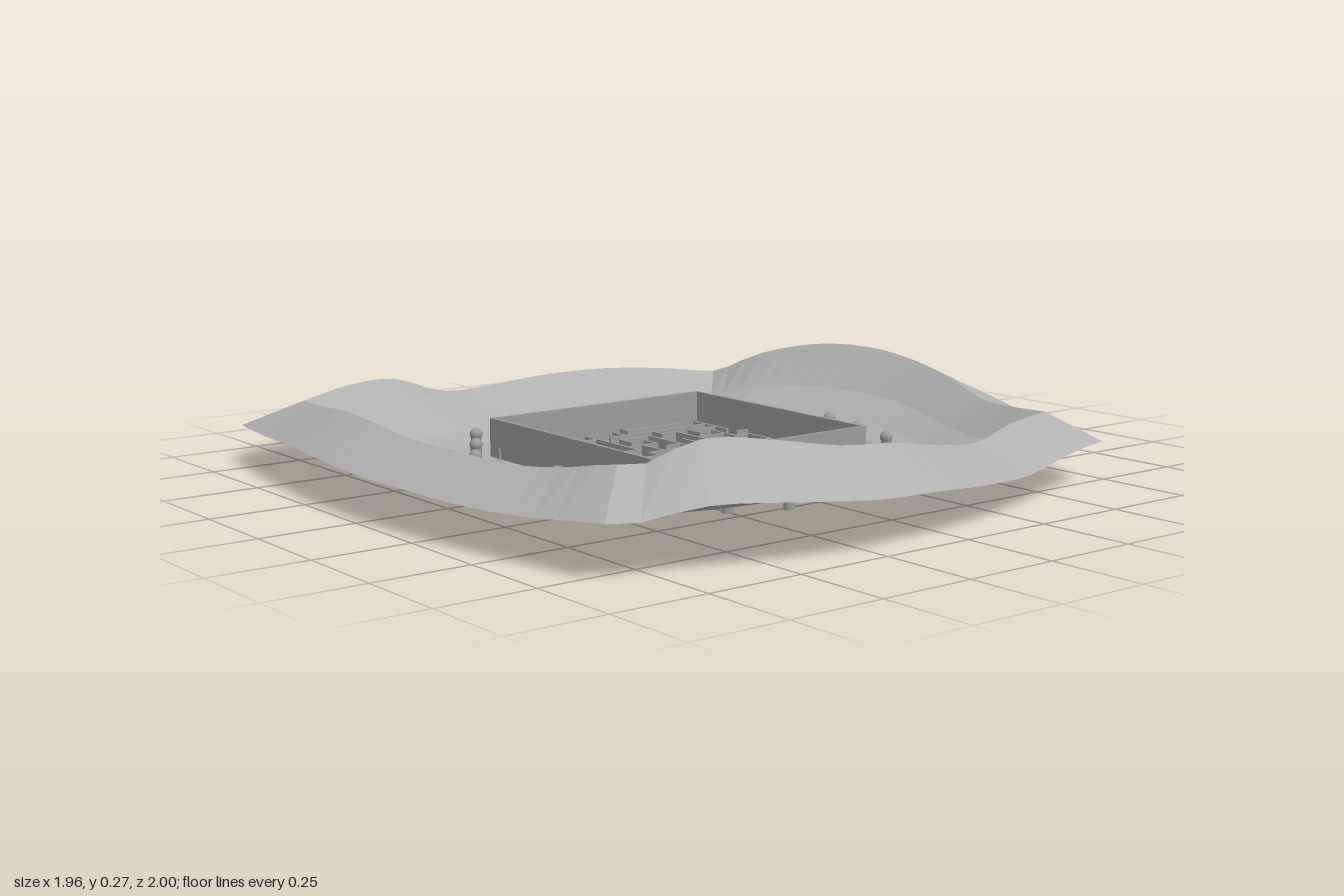
import * as THREE from 'three';
import { mergeGeometries } from 'three/addons/utils/BufferGeometryUtils.js';

const SEG = 24; // columns per side of the bowl
const FLOOR = 0.03;

// Rings from the outer edge inwards: corner and mid-side positions,
// and how much of the ridge height each ring keeps.
const RINGS = [
  { xl: -0.88, zl: 0.82, xr: 0.715, zr: 0.77, ml: 0.1, mr: 0.265, mz: 0.2 },
  { xl: -0.757, zl: 0.7, xr: 0.61, zr: 0.67, ml: 0.085, mr: 0.19, mz: 0.145, k: 1 },
  { xl: -0.667, zl: 0.616, xr: 0.53, zr: 0.58, ml: 0.085, mr: 0.17, mz: 0.105, k: 0.45 },
  { xl: -0.59, zl: 0.525, xr: 0.46, zr: 0.5, ml: 0.08, mr: 0.15, mz: 0.105, k: 0.15 },
  { xl: -0.52, zl: 0.45, xr: 0.4, zr: 0.42, ml: 0.07, mr: 0.12, mz: 0.09, k: 0 },
];

// Ridge heights at even steps along each side, going round the bowl
const RIDGE = [
  [0.17, 0.185, 0.18, 0.125, 0.13, 0.145, 0.15, 0.14, 0.12],  // back
  [0.12, 0.19, 0.23, 0.235, 0.215, 0.185, 0.155, 0.165, 0.18], // right
  [0.18, 0.175, 0.155, 0.175, 0.205, 0.22, 0.25, 0.265, 0.2], // front
  [0.22, 0.19, 0.175, 0.18, 0.18, 0.19, 0.195, 0.18, 0.17],   // left
].map(h => new THREE.SplineCurve(h.map((y, i) => new THREE.Vector2(i / (h.length - 1), y))));

const lerp = THREE.MathUtils.lerp;

function ringPoint(r, side, t) {
  const ridge = RIDGE[side].getPoint(t).y;
  const y = r.k === undefined ? ridge * 0.59 : FLOOR + r.k * (ridge - FLOOR);
  const s = side === 2 ? 1 - t : t;
  if (side === 0 || side === 2) {
    const bulge = r.mz * Math.pow(Math.max(0, Math.sin(Math.PI * Math.pow(s, 0.82))), 1.15);
    const z = lerp(r.zl, r.zr, s) + bulge;
    return [lerp(r.xl, r.xr, s), y, side === 0 ? -z : z];
  }
  const wave = Math.max(0, Math.sin(Math.PI * t));
  if (side === 1) return [r.xr + r.mr * Math.pow(wave, 1.35), y, lerp(-r.zr, r.zr, t)];
  return [r.xl - r.ml * wave, y, lerp(r.zl, -r.zl, t)];
}

function bowlGeometry() {
  const pos = [], index = [], cols = SEG * 4;
  for (const r of RINGS)
    for (let side = 0; side < 4; side++)
      for (let i = 0; i < SEG; i++) pos.push(...ringPoint(r, side, i / SEG));
  const centre = pos.length / 3;
  pos.push(-0.055, FLOOR, 0);
  for (let c = 0; c < cols; c++) {
    const d = (c + 1) % cols;
    for (let r = 0; r < RINGS.length - 1; r++) {
      const a = r * cols + c, b = r * cols + d;
      index.push(a, a + cols, b, b, a + cols, b + cols);
    }
    const last = (RINGS.length - 1) * cols;
    index.push(last + c, centre, last + d);
  }
  const g = new THREE.BufferGeometry();
  g.setAttribute('position', new THREE.Float32BufferAttribute(pos, 3));
  g.setIndex(index);
  g.computeVertexNormals();
  return g;
}

function box(x0, x1, y0, y1, z0, z1) {
  return new THREE.BoxGeometry(x1 - x0, y1 - y0, z1 - z0)
    .translate((x0 + x1) / 2, (y0 + y1) / 2, (z0 + z1) / 2);
}

// Labyrinth walls left over from a seeded depth-first walk
function mazeGeometry(x0, z0, size, n) {
  let seed = 11;
  const rand = () => (seed = (seed * 16807) % 2147483647) / 2147483647;
  const open = new Set(), seen = new Set([0]), stack = [0];
  while (stack.length) {
    const c = stack[stack.length - 1], x = c % n, z = Math.floor(c / n);
    const next = [[1, 0], [-1, 0], [0, 1], [0, -1]]
      .map(([dx, dz]) => [x + dx, z + dz])
      .filter(([a, b]) => a >= 0 && b >= 0 && a < n && b < n && !seen.has(b * n + a))
      .map(([a, b]) => b * n + a);
    if (!next.length) { stack.pop(); continue; }
    const d = next[Math.floor(rand() * next.length)];
    open.add(Math.min(c, d) + '-' + Math.max(c, d));
    seen.add(d);
    stack.push(d);
  }
  const parts = [], s = size / n, w = 0.004, y0 = 0.006, y1 = 0.058;
  for (let z = 0; z < n; z++)
    for (let x = 0; x < n; x++) {
      const c = z * n + x, px = x0 + x * s, pz = z0 + z * s;
      if (x < n - 1 && !open.has(c + '-' + (c + 1)))
        parts.push(box(px + s - w, px + s + w, y0, y1, pz - w, pz + s + w));
      if (z < n - 1 && !open.has(c + '-' + (c + n)))
        parts.push(box(px - w, px + s + w, y0, y1, pz + s - w, pz + s + w));
    }
  return mergeGeometries(parts);
}

export function createModel() {
  const model = new THREE.Group();
  const earth = new THREE.MeshStandardMaterial({ color: 0xb0b0b0 });
  earth.name = 'light grey ground';
  earth.side = THREE.DoubleSide;
  earth.flatShading = true;
  const stone = new THREE.MeshStandardMaterial({ color: 0x9c9c9c });
  stone.name = 'grey stone';

  const add = (name, geometry, material, parent = model) => {
    const m = new THREE.Mesh(geometry, material);
    m.name = name;
    parent.add(m);
    return m;
  };

  add('valleyBowl', bowlGeometry(), earth);

  // Square enclosure around the labyrinth
  const x0 = -0.403, x1 = 0.293, z = 0.348, t = 0.01, top = 0.133;
  add('enclosureWalls', mergeGeometries([
    box(x0, x1, 0, top, -z, -z + t),
    box(x0, x1, 0, top, z - t, z),
    box(x0, x0 + t, 0, top, -z + t, z - t),
    box(x1 - t, x1, 0, top, -z + t, z - t),
  ]), stone);
  add('labyrinthWalls', mazeGeometry(x0, -z, 2 * z, 15), stone);

  // Ring of round-topped posts
  const posts = [
    [-0.28, -0.49], [-0.13, -0.505], [0.01, -0.49], [0.16, -0.48], [0.27, -0.38], [0.405, -0.3],
    [0.42, -0.14], [0.48, 0], [0.45, 0.145], [0.41, 0.3], [0.27, 0.38], [0.17, 0.495],
    [0.02, 0.51], [-0.135, 0.54], [-0.275, 0.48], [-0.415, 0.415], [-0.49, 0.28], [-0.53, 0.14],
    [-0.6, 0], [-0.575, -0.15], [-0.49, -0.28], [-0.41, -0.405],
  ];
  const ring = new THREE.Group();
  ring.name = 'postRing';
  model.add(ring);
  const shaft = new THREE.CylinderGeometry(0.014, 0.014, 0.075, 12).translate(0, 0.0455, 0);
  const cap = new THREE.SphereGeometry(0.017, 12, 8).translate(0, 0.083, 0);
  const post = mergeGeometries([shaft, cap]);
  posts.forEach(([x, pz]) => add('post', post, stone, ring).position.set(x, 0, pz));

  // Small groups of standing stones between the posts: centre and spacing
  const clusters = [
    [-0.53, -0.11, 0, 0.02, 3], [0.43, -0.05, 0, 0.02, 4], [-0.523, 0.19, 0, 0.016, 3],
    [-0.035, 0.48, 0.025, 0, 4], [0.32, 0.445, 0.02, -0.005, 4],
  ];
  const pebble = mergeGeometries([
    new THREE.CylinderGeometry(0.006, 0.007, 0.03, 8).translate(0, 0.037, 0),
    new THREE.SphereGeometry(0.008, 8, 6).translate(0, 0.054, 0),
  ]);
  for (const [x, cz, dx, dz, n] of clusters)
    for (let i = 0; i < n; i++) {
      const k = i - (n - 1) / 2;
      add('smallStone', pebble, stone).position.set(x + k * dx, 0, cz + k * dz);
    }

  return model;
}
